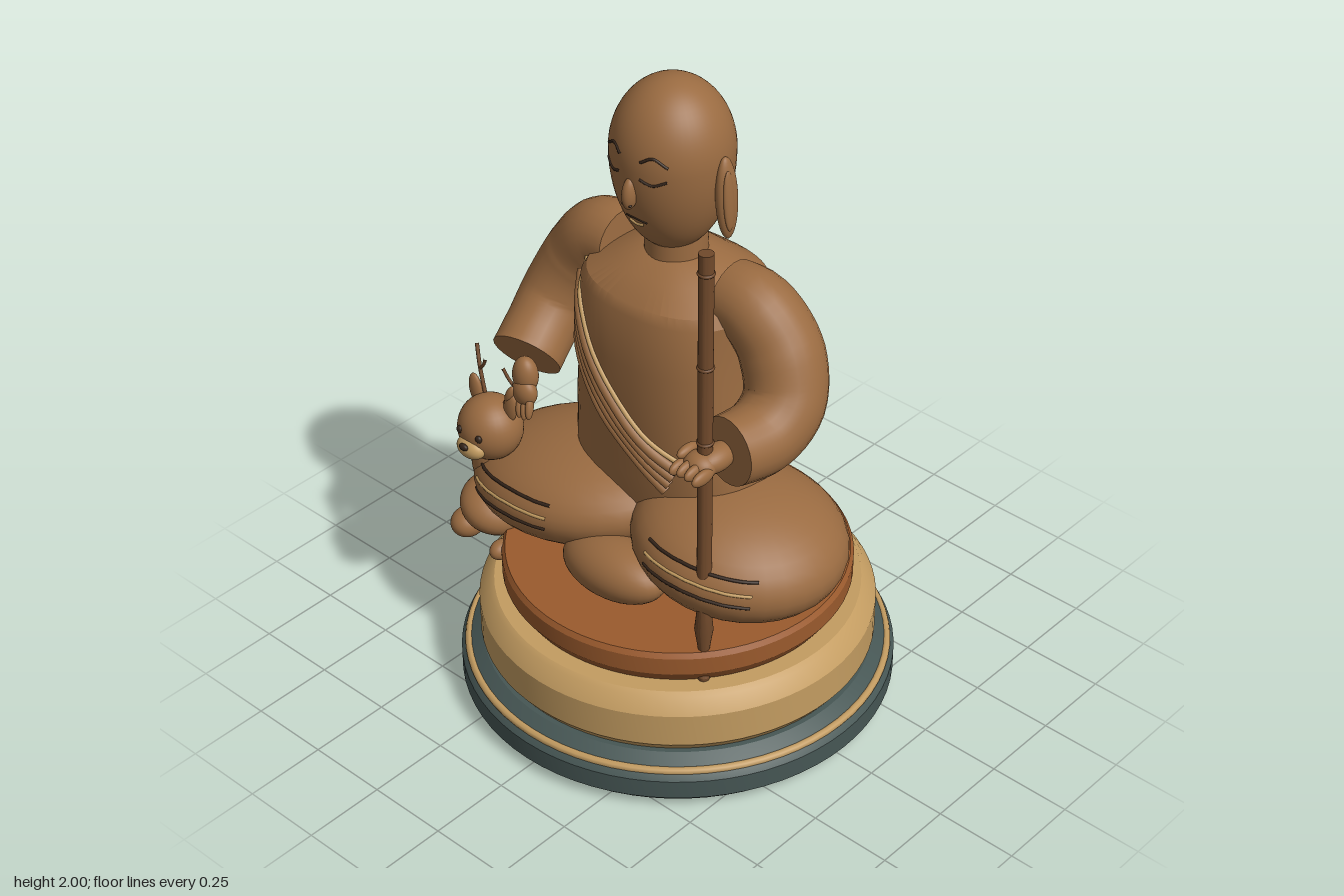
import * as THREE from 'three';
import { mergeVertices, toCreasedNormals } from 'three/addons/utils/BufferGeometryUtils.js';

const mat = (name, color) => new THREE.MeshStandardMaterial({ name, color });
const V = (x, y, z) => new THREE.Vector3(x, y, z);

export function createModel() {
  const wood = mat('wood', 0x9a6b41), gold = mat('gold', 0xc39c61), rust = mat('rust', 0x9a5a2d);
  const teal = mat('teal', 0x465654), dark = mat('dark', 0x33241a), cane = mat('cane', 0x70492b);
  const model = new THREE.Group();

  const add = (name, geo, material, parent = model) => {
    const m = new THREE.Mesh(geo, material);
    m.name = name;
    parent.add(m);
    return m;
  };
  const ball = (name, material, pos, size, rot = [0, 0, 0]) => {
    const m = add(name, new THREE.SphereGeometry(1, 32, 20), material);
    m.position.set(...pos);
    m.scale.set(...size);
    m.rotation.set(...rot);
    return m;
  };
  const lathe = (name, material, profile, segs = 72) => add(name,
    toCreasedNormals(new THREE.LatheGeometry(profile.map(p => new THREE.Vector2(...p)), segs), 0.45), material);
  const tube = (name, material, pts, r) =>
    add(name, new THREE.TubeGeometry(new THREE.CatmullRomCurve3(pts), 24, r, 8), material);

  // Tube whose radius follows a list, closed flat at both ends
  const limb = (name, material, pts, radii) => {
    const n = 30, k = 24, curve = new THREE.CatmullRomCurve3(pts.map(p => V(...p)));
    const geo = new THREE.TubeGeometry(curve, n, 1, k);
    const pos = geo.attributes.position, p = V();
    for (let i = 0; i <= n; i++) {
      const own = curve.getPointAt(i / n);
      const at = i === 0 ? curve.getPointAt(1 / n) : i === n ? curve.getPointAt(1 - 1 / n) : own;
      const u = (i / n) * (radii.length - 1), j = Math.min(Math.floor(u), radii.length - 2);
      const r = i === 0 || i === n ? 0 : THREE.MathUtils.lerp(radii[j], radii[j + 1], u - j);
      for (let s = 0; s <= k; s++) {
        p.fromBufferAttribute(pos, i * (k + 1) + s).sub(own).multiplyScalar(r).add(at);
        pos.setXYZ(i * (k + 1) + s, p.x, p.y, p.z);
      }
    }
    return add(name, toCreasedNormals(geo, 0.9), material);
  };

  // Thin line laid on the front surface of a mesh
  const ray = new THREE.Raycaster();
  const lineOn = (target, name, material, pts, r, lift = 0) => {
    target.updateMatrixWorld(true);
    const flat = new THREE.CatmullRomCurve3(pts.map(([x, y]) => V(x, y, 0))).getPoints(12);
    const path = [];
    for (const q of flat) {
      ray.set(V(q.x, q.y, 2), V(0, 0, -1));
      const hit = ray.intersectObject(target)[0];
      if (hit) path.push(hit.point.clone().add(V(0, 0, lift)));
    }
    if (path.length > 1) tube(name, material, path, r);
  };

  // Round stepped base
  lathe('baseFoot', teal, [[0, 0], [0.61, 0], [0.645, 0.035], [0.645, 0.095], [0.63, 0.115], [0.61, 0.13], [0.58, 0.15], [0, 0.15]]);
  const trim = add('baseTrim', new THREE.TorusGeometry(0.622, 0.012, 8, 72), gold);
  trim.rotation.x = Math.PI / 2;
  trim.position.y = 0.117;
  lathe('baseBand', gold, [[0.5, 0.14], [0.56, 0.145], [0.585, 0.18], [0.585, 0.285], [0.555, 0.33], [0.54, 0.34], [0, 0.34]]);
  lathe('baseCushion', rust, [[0.4, 0.335], [0.485, 0.335], [0.515, 0.38], [0.515, 0.435], [0.505, 0.45], [0, 0.45]]);

  // Torso: lathe squashed into a rounded box section
  const rows = [[0, 0.6, 1], [0.27, 0.61, 0.72], [0.31, 0.75, 0.7], [0.31, 0.82, 0.7], [0.29, 1.0, 0.81], [0.27, 1.2, 0.88],
    [0.272, 1.36, 0.83], [0.255, 1.39, 0.83], [0.17, 1.44, 0.85], [0.09, 1.475, 0.95], [0, 1.48, 1]];
  const tg = new THREE.LatheGeometry(rows.map(([r, y]) => new THREE.Vector2(r, y)), 64);
  const tp = tg.attributes.position;
  for (let i = 0; i < tp.count; i++) {
    const [r, , depth] = rows[i % rows.length];
    if (!r) continue;
    const c = tp.getX(i) / r, s = tp.getZ(i) / r;
    const soft = v => Math.sign(v) * Math.abs(v) ** 0.82;
    tp.setX(i, r * soft(c));
    tp.setZ(i, r * depth * soft(s));
  }
  const torso = add('torso', toCreasedNormals(tg, 0.5), wood);

  // Robe folds across the chest
  for (let i = 0; i < 5; i++) {
    lineOn(torso, 'robeFold', i === 0 ? gold : wood,
      [[-0.25, 1.375 - 0.037 * i], [-0.07, 1.14 - 0.032 * i], [0.08, 0.995 - 0.03 * i], [0.19 - 0.012 * i, 0.93 - 0.027 * i]],
      i === 0 ? 0.008 : 0.017, 0.002);
  }

  // Neck and egg-shaped head
  const neck = add('neck', new THREE.CylinderGeometry(0.085, 0.09, 0.14, 40), wood);
  neck.position.set(0, 1.5, 0.005);
  let hg = new THREE.SphereGeometry(1, 48, 36);
  const hp = hg.attributes.position;
  for (let i = 0; i < hp.count; i++) {
    const y = hp.getY(i);
    hp.setXYZ(i, hp.getX(i) * 0.172, 1.79 + y * (y > 0 ? 0.21 : 0.3), 0.02 + hp.getZ(i) * 0.172);
  }
  hg.deleteAttribute('uv');
  hg.deleteAttribute('normal');
  hg = mergeVertices(hg, 1e-5);
  hg.computeVertexNormals();
  const head = add('head', hg, wood);
  ball('nose', wood, [0, 1.72, 0.187], [0.02, 0.048, 0.026], [-0.12, 0, 0]);
  lineOn(head, 'mouth', dark, [[-0.037, 1.628], [0, 1.633], [0.037, 1.628]], 0.003);
  lineOn(head, 'lowerLip', gold, [[-0.025, 1.618], [0, 1.612], [0.025, 1.618]], 0.005);
  for (const s of [-1, 1]) {
    lineOn(head, 'eyebrow', dark, [[s * 0.035, 1.825], [s * 0.068, 1.842], [s * 0.105, 1.82]], 0.004);
    lineOn(head, 'closedEye', dark, [[s * 0.035, 1.775], [s * 0.07, 1.764], [s * 0.105, 1.779]], 0.004);
    ball('nostril', dark, [s * 0.012, 1.69, 0.2], [0.005, 0.004, 0.005]);
    ball('ear', wood, [s * 0.183, 1.7, 0.01], [0.025, 0.122, 0.036], [0, 0, s * 0.06]);
    ball('earHollow', wood, [s * 0.2, 1.7, 0.02], [0.01, 0.09, 0.02], [0, 0, s * 0.06]);
  }

  // Folded legs
  ball('hips', wood, [0, 0.65, -0.01], [0.3, 0.16, 0.22]);
  const rightLeg = ball('rightLeg', wood, [-0.25, 0.635, 0.11], [0.36, 0.155, 0.29], [0, 0.18, 0.13]);
  const leftLeg = ball('leftLeg', wood, [0.29, 0.655, 0.06], [0.315, 0.175, 0.3], [0, 0.15, -0.1]);
  ball('foot', wood, [0.04, 0.56, 0.31], [0.18, 0.088, 0.1], [0, 0, 0.06]);
  for (let i = 0; i < 3; i++) {
    const dy = 0.035 * i;
    lineOn(leftLeg, 'leftLegTrim', i === 1 ? gold : dark, [[0.18, 0.735 - dy], [0.34, 0.73 - dy], [0.51, 0.71 - dy]], 0.005);
    lineOn(rightLeg, 'rightLegTrim', i === 1 ? gold : dark, [[-0.48, 0.665 - dy], [-0.32, 0.69 - dy], [-0.16, 0.7 - dy]], 0.005);
  }

  // Sleeves
  limb('leftSleeve', wood, [[0.175, 1.4, 0], [0.28, 1.385, -0.005], [0.365, 1.29, -0.01], [0.415, 1.17, 0.03], [0.42, 1.11, 0.12], [0.4, 1.11, 0.27]],
    [0.1, 0.112, 0.118, 0.115, 0.108, 0.098]);
  limb('rightSleeve', wood, [[-0.175, 1.4, 0], [-0.28, 1.385, -0.005], [-0.36, 1.28, 0], [-0.405, 1.16, 0.06], [-0.4, 1.09, 0.14], [-0.38, 1.03, 0.23]],
    [0.1, 0.112, 0.118, 0.112, 0.104, 0.105]);

  // Left hand gripping the staff
  ball('leftWrist', wood, [0.39, 1.1, 0.28], [0.042, 0.038, 0.07]);
  ball('leftPalm', wood, [0.375, 1.095, 0.325], [0.05, 0.038, 0.045]);
  for (let i = 0; i < 4; i++)
    ball('leftFinger', wood, [0.335 + 0.027 * i, 1.09 + (i % 3 ? 0.006 : 0), 0.36], [0.015, 0.022, 0.042]);
  ball('leftThumb', wood, [0.33, 1.12, 0.325], [0.016, 0.018, 0.04]);

  // Right hand reaching down
  ball('rightWrist', wood, [-0.37, 0.99, 0.235], [0.04, 0.06, 0.036]);
  ball('rightPalm', wood, [-0.36, 0.945, 0.25], [0.042, 0.045, 0.03]);
  for (let i = 0; i < 4; i++)
    ball('rightFinger', wood, [-0.385 + 0.019 * i, 0.91 - (i % 3 ? 0.01 : 0), 0.265], [0.011, 0.036, 0.014], [-0.3, 0, 0.15]);
  ball('rightThumb', wood, [-0.395, 0.93, 0.275], [0.013, 0.035, 0.014], [0, 0, -0.4]);

  // Jointed staff with a spindle foot
  const staff = lathe('staff', cane, [[0, 0.33], [0.016, 0.33], [0.018, 0.35], [0.009, 0.37], [0.012, 0.42], [0.027, 0.52], [0.016, 0.63],
    [0.024, 0.645], [0.021, 0.67], [0.021, 1.75], [0, 1.75]], 20);
  staff.position.set(0.377, 0, 0.308);
  for (const y of [0.42, 0.68, 1.16, 1.4, 1.69]) {
    const joint = add('staffJoint', new THREE.TorusGeometry(y < 0.5 ? 0.012 : 0.02, 0.005, 8, 20), cane);
    joint.rotation.x = Math.PI / 2;
    joint.position.set(0.377, y, 0.308);
  }

  // Young deer curled beside the right knee
  ball('deerChest', wood, [-0.5, 0.475, 0.24], [0.11, 0.075, 0.12], [0, 0, -0.35]);
  ball('deerNeck', wood, [-0.49, 0.65, 0.24], [0.08, 0.14, 0.08]);
  ball('deerBody', wood, [-0.51, 0.5, 0.1], [0.085, 0.1, 0.2]);
  ball('deerHaunch', wood, [-0.545, 0.44, -0.06], [0.055, 0.055, 0.1], [0, -0.2, 0]);
  ball('deerHoof', wood, [-0.56, 0.41, 0.31], [0.05, 0.045, 0.055]);
  ball('deerHoof', wood, [-0.39, 0.412, 0.34], [0.03, 0.03, 0.04]);
  tube('deerTail', wood, [V(-0.53, 0.47, -0.1), V(-0.43, 0.47, -0.17), V(-0.32, 0.465, -0.215), V(-0.3, 0.46, -0.18), V(-0.38, 0.46, -0.12)], 0.01);
  ball('deerHead', wood, [-0.465, 0.795, 0.29], [0.098, 0.1, 0.095]);
  ball('deerMuzzle', gold, [-0.465, 0.762, 0.37], [0.05, 0.034, 0.032]);
  ball('deerNose', dark, [-0.465, 0.778, 0.4], [0.016, 0.011, 0.009]);
  for (const s of [-1, 1]) {
    const x = -0.465 + s * 0.07;
    ball('deerEye', dark, [-0.465 + s * 0.038, 0.81, 0.375], [0.011, 0.012, 0.009]);
    ball('deerEar', wood, [x, 0.885, 0.275], [0.024, 0.052, 0.014], [0, 0, -s * 0.15]);
    tube('deerAntler', cane, [V(-0.465 + s * 0.035, 0.87, 0.27), V(x, 0.95, 0.255), V(-0.465 + s * 0.1, 1.01, 0.235)], 0.006);
    tube('deerAntlerBranch', cane, [V(x, 0.945, 0.255), V(x - s * 0.02, 0.97, 0.26), V(x - s * 0.035, 1.0, 0.265)], 0.005);
  }
  return model;
}
